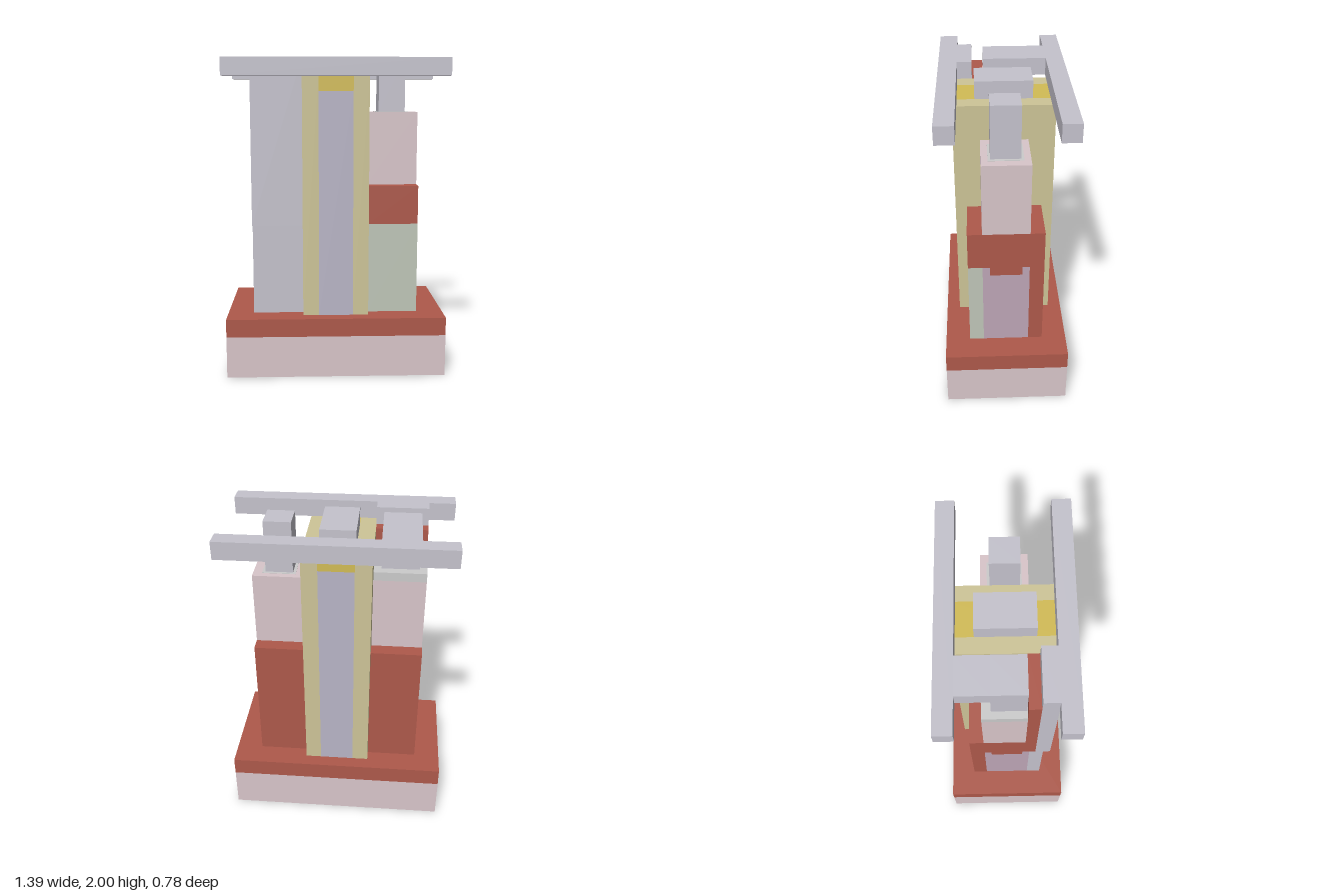
import * as THREE from 'three';

const COLORS = {
  grey: 0xc5c3cd, pink: 0xd9c6ca, red: 0xae594b, sage: 0xc0c7b9, mauve: 0xbea6b7,
  khaki: 0xcec598, yellow: 0xd2bc56, lavender: 0xb9b5c7, pale: 0xd1d2d4,
};
const materials = {};
for (const key in COLORS) {
  materials[key] = new THREE.MeshStandardMaterial({ color: COLORS[key], flatShading: true });
}

// Box given by its extents along each axis
function box(parent, name, color, [x0, x1], [y0, y1], [z0, z1]) {
  const mesh = new THREE.Mesh(new THREE.BoxGeometry(x1 - x0, y1 - y0, z1 - z0), materials[color]);
  mesh.position.set((x0 + x1) / 2, (y0 + y1) / 2, (z0 + z1) / 2);
  mesh.name = name;
  parent.add(mesh);
  return mesh;
}

function section(parent, name) {
  const g = new THREE.Group();
  g.name = name;
  parent.add(g);
  return g;
}

// Lower block with an inset-coloured end panel and a tongue hanging over it
function lowerBlock(parent, name, xs, frontColor) {
  const g = section(parent, name);
  box(g, 'backSlab', 'red', xs, [0.38, 0.96], [-0.235, -0.145]);
  box(g, 'core', 'mauve', xs, [0.38, 0.9], [-0.145, 0.145]);
  box(g, 'coreCheekBack', 'mauve', xs, [0.9, 0.96], [-0.145, -0.1]);
  box(g, 'coreCheekFront', 'mauve', xs, [0.9, 0.96], [0.1, 0.145]);
  box(g, 'tongue', 'red', xs, [0.9, 0.96], [-0.1, 0.1]);
  box(g, 'frontPanel', frontColor, xs, [0.38, 0.96], [0.145, 0.235]);
  box(g, 'topBand', 'red', xs, [0.96, 1.205], [-0.235, frontColor === 'sage' ? 0.235 : 0.185]);
  return g;
}

export function createModel() {
  const model = new THREE.Group();
  model.name = 'blockTower';

  // Two-tone base
  const base = section(model, 'base');
  box(base, 'baseLower', 'pink', [-0.695, 0.695], [0, 0.265], [-0.39, 0.39]);
  box(base, 'baseUpper', 'red', [-0.695, 0.695], [0.265, 0.38], [-0.39, 0.39]);

  // Central column with a coloured stripe and a block on top
  const column = section(model, 'centralColumn');
  const depth = [-0.305, 0.305];
  box(column, 'columnRight', 'khaki', [-0.21, -0.108], [0.38, 1.89], depth);
  box(column, 'columnLeft', 'khaki', [0.108, 0.207], [0.38, 1.89], depth);
  box(column, 'columnStripe', 'lavender', [-0.108, 0.108], [0.38, 1.8], depth);
  box(column, 'columnCap', 'yellow', [-0.108, 0.108], [1.8, 1.89], depth);
  box(column, 'topBlock', 'grey', [-0.108, 0.108], [1.89, 2], [-0.175, 0.172]);

  // Left stack with a slim post
  const leftX = [0.207, 0.527];
  const left = lowerBlock(model, 'leftStack', leftX, 'sage');
  box(left, 'upperBlock', 'pink', leftX, [1.205, 1.67], [-0.145, 0.145]);
  box(left, 'postSeat', 'pale', [0.265, 0.472], [1.66, 1.672], [-0.105, 0.105]);
  box(left, 'post', 'grey', [0.283, 0.452], [1.67, 2], [-0.087, 0.09]);

  // Right stack with a wide post tied to the back beam
  const rightX = [-0.53, -0.21];
  const right = lowerBlock(model, 'rightStack', rightX, 'grey');
  box(right, 'upperBlock', 'pink', rightX, [1.205, 1.67], [-0.145, 0.115]);
  box(right, 'upperBlockCap', 'pale', rightX, [1.67, 1.725], [-0.145, 0.115]);
  box(right, 'post', 'grey', [-0.485, -0.257], [1.725, 2], [-0.09, 0.112]);
  box(right, 'postArm', 'grey', [-0.485, -0.257], [1.89, 2], [-0.28, -0.09]);

  // Front wall of the right stack with its red lining
  box(right, 'wallLining', 'red', rightX, [0.96, 1.89], [0.115, 0.185]);
  box(right, 'frontWall', 'grey', rightX, [0.96, 2], [0.185, 0.28]);

  // Long beams along the front and back
  box(model, 'frontBeam', 'grey', [-0.695, 0.695], [1.89, 2], [0.277, 0.39]);
  box(model, 'backBeam', 'grey', [-0.695, 0.695], [1.89, 2], [-0.39, -0.28]);

  return model;
}
